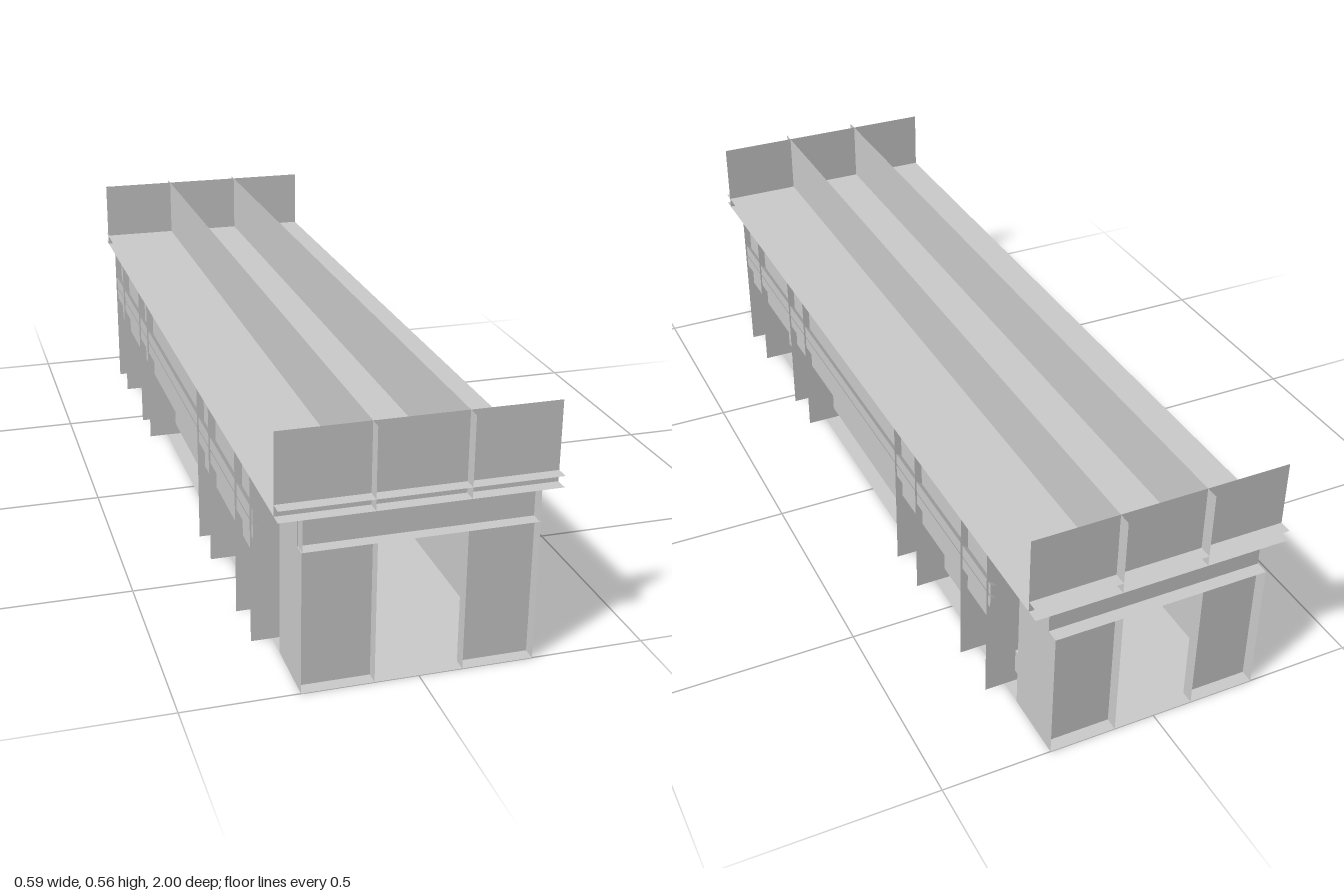
import * as THREE from 'three';

export function createModel() {
  const model = new THREE.Group();
  const grey = new THREE.MeshStandardMaterial({ color: 0xcccccc, side: THREE.DoubleSide });
  grey.name = 'plain grey';

  const add = (parent, name, geo) => {
    const m = new THREE.Mesh(geo, grey);
    m.name = name;
    parent.add(m);
    return m;
  };
  // Thin sheets lying in one plane, given by their extents
  const sheetX = (p, name, x, y0, y1, z0, z1) =>
    add(p, name, new THREE.PlaneGeometry(Math.abs(z1 - z0), y1 - y0).rotateY(Math.PI / 2)
      .translate(x, (y0 + y1) / 2, (z0 + z1) / 2));
  const sheetY = (p, name, y, x0, x1, z0, z1) =>
    add(p, name, new THREE.PlaneGeometry(x1 - x0, Math.abs(z1 - z0)).rotateX(-Math.PI / 2)
      .translate((x0 + x1) / 2, y, (z0 + z1) / 2));
  const sheetZ = (p, name, z, x0, x1, y0, y1) =>
    add(p, name, new THREE.PlaneGeometry(x1 - x0, y1 - y0)
      .translate((x0 + x1) / 2, (y0 + y1) / 2, z));

  const W = 0.297, FLOOR = 0.25, INNER = 0.2, UPPER = 0.28;
  const DOOR = 0.095, HEAD = 0.315, ROOF = 0.385, TOP = 0.563, SILL = 0.185;
  const bays = [[0.85, 0.72], [0.47, 0.35], [-0.28, -0.40], [-0.65, -0.78]];
  const benches = [[0.72, 0.47], [0.35, -0.28], [-0.40, -0.65], [-0.78, -0.84]];

  // Floor, double roof deck and the long walls standing on it
  sheetY(model, 'floor', 0, -FLOOR, FLOOR, -1, 1);
  sheetY(model, 'ceiling', ROOF, -W, W, -1, 1);
  sheetY(model, 'roofDeck', ROOF + 0.025, -W, W, -1, 1);
  for (const s of [-1, 1]) sheetX(model, 'roofWall', s * 0.1, ROOF, TOP, -1, 1);

  // Rail profile: wide outside, narrow at the wall
  const railGeometry = (y) => {
    const s = new THREE.Shape([
      new THREE.Vector2(UPPER, y - 0.005), new THREE.Vector2(0.293, y - 0.015),
      new THREE.Vector2(0.293, y + 0.015), new THREE.Vector2(UPPER, y + 0.005)]);
    return new THREE.ExtrudeGeometry(s, { depth: 1.64, bevelEnabled: false }).translate(0, 0, -0.79);
  };

  function buildHalf(name) {
    const g = new THREE.Group();
    g.name = name;

    // End wall with doorway, roof panel and protruding ribs
    sheetZ(g, 'roofEndPanel', 0.97, -W, W, ROOF, TOP);
    sheetZ(g, 'doorHeader', 0.97, -FLOOR, FLOOR, HEAD, ROOF);
    sheetY(g, 'headerLedge', HEAD, -FLOOR, FLOOR, 0.97, 1);
    for (const s of [-1, 1]) {
      const a = s * DOOR, b = s * FLOOR;
      sheetZ(g, 'endWall', 0.97, Math.min(a, b), Math.max(a, b), 0, HEAD);
      sheetX(g, 'doorRib', a, 0, HEAD, 0.97, 1);
      sheetX(g, 'cornerRib', b, 0, HEAD, 0.97, 1);
    }

    // Side wall: recessed below, overhanging above
    sheetX(g, 'lowerWall', INNER, 0, SILL, -0.84, 0.85);
    sheetX(g, 'upperWall', UPPER, SILL, ROOF, -0.78, 0.85);
    sheetY(g, 'wallUnderside', SILL, INNER, UPPER, -0.78, 0.85);
    sheetX(g, 'frontVestibuleWall', FLOOR, 0, ROOF, 0.85, 0.97);
    sheetX(g, 'rearVestibuleWall', FLOOR, 0, ROOF, -0.97, -0.84);
    sheetX(g, 'rearNicheWall', INNER, SILL, ROOF, -0.84, -0.78);
    sheetZ(g, 'rearNicheReturn', -0.84, INNER, FLOOR, 0, ROOF);

    // Bays with a fin at each edge and a sloped soffit
    for (const [z0, z1] of bays) {
      for (const z of [z0, z1]) {
        sheetZ(g, 'fin', z, INNER, W, 0, ROOF);
      }
      const slope = new THREE.PlaneGeometry(z0 - z1, Math.hypot(0.08, 0.055))
        .rotateX(Math.PI / 2).rotateY(Math.PI / 2)
        .rotateZ(Math.atan2(0.055, 0.08))
        .translate((INNER + UPPER) / 2, 0.1575, (z0 + z1) / 2);
      add(g, 'baySoffit', slope);
    }

    // Low benches between the bays
    for (const [z0, z1] of benches) {
      add(g, 'bench', new THREE.BoxGeometry(0.025, 0.06, z0 - z1)
        .translate(INNER + 0.0125, 0.06, (z0 + z1) / 2));
    }

    // Two rails along the upper wall
    for (const y of [0.297, 0.263]) add(g, 'sideRail', railGeometry(y));
    return g;
  }

  // The second half is the first one turned around
  const frontHalf = buildHalf('frontHalf');
  const backHalf = buildHalf('backHalf');
  backHalf.rotation.y = Math.PI;
  model.add(frontHalf, backHalf);

  // Taller corner posts at the front only
  for (const s of [-1, 1]) sheetX(model, 'frontCornerPost', s * (FLOOR - 0.002), HEAD, ROOF, 0.97, 1);

  return model;
}
